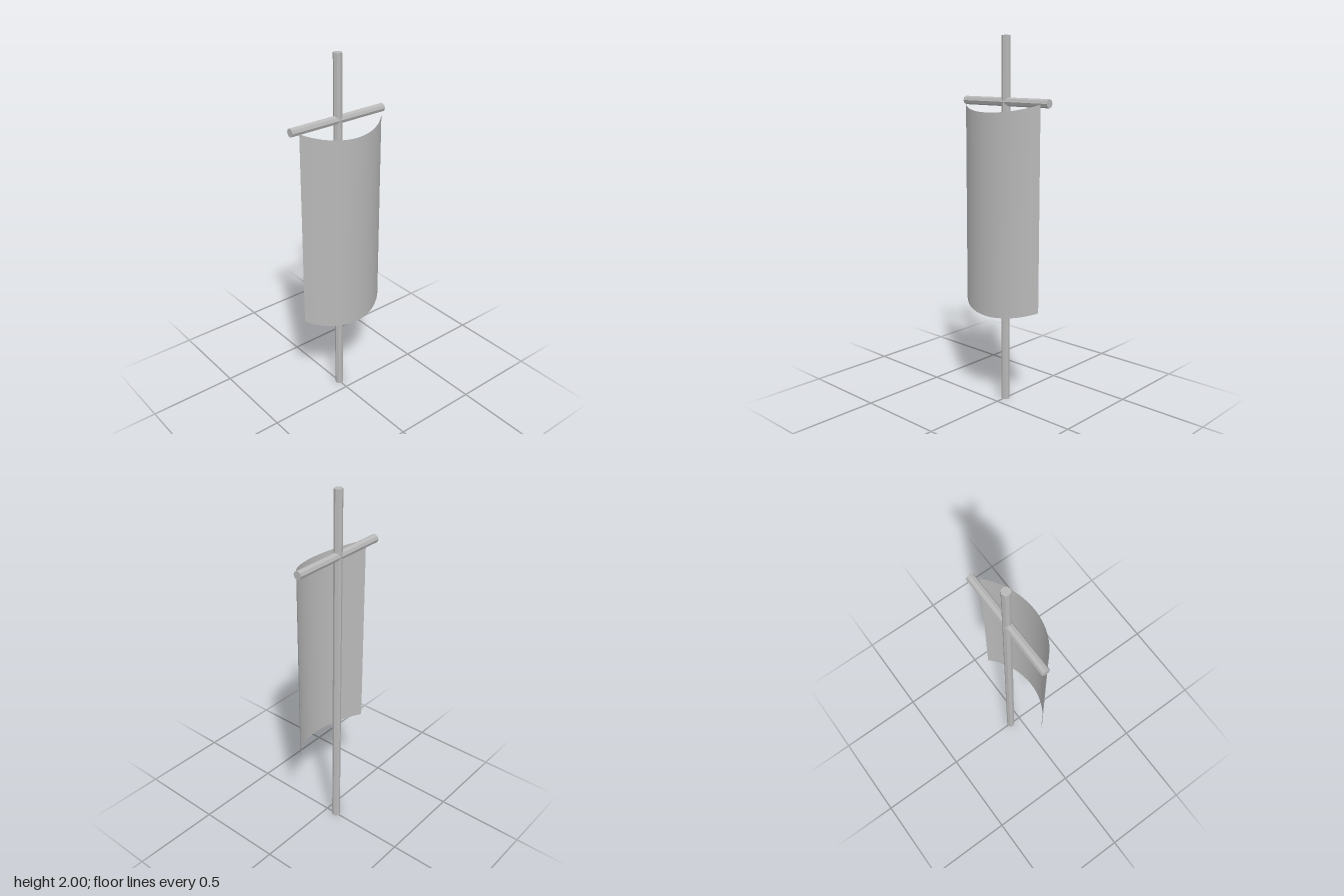
import * as THREE from 'three';

export function createModel() {
  const model = new THREE.Group();
  const grey = new THREE.MeshStandardMaterial({ color: 0xb8b8b8, flatShading: true });
  grey.name = 'grey metal';
  const cloth = new THREE.MeshStandardMaterial({ color: 0xb8b8b8, side: THREE.DoubleSide });
  cloth.name = 'grey cloth';
  const poleZ = -0.067, radius = 0.023;

  function addRod(name, length, y) {
    const rod = new THREE.Mesh(new THREE.CylinderGeometry(radius, radius, length, 8), grey);
    rod.name = name;
    rod.position.set(0, y, poleZ);
    model.add(rod);
    return rod;
  }

  // Upright pole and the crossbar the banner hangs from
  addRod('pole', 2, 1);
  addRod('crossbar', 0.588, 1.66).rotation.z = Math.PI / 2;

  // Billowing banner: a vertical sheet bent to an arc, sagging where it bulges forward
  const halfWidth = 0.262, bulge = 0.125, height = 1.088;
  const arcRadius = (halfWidth ** 2 + bulge ** 2) / (2 * bulge);
  const halfAngle = Math.asin(halfWidth / arcRadius);
  const geometry = new THREE.PlaneGeometry(2, height, 16, 1);
  const pos = geometry.attributes.position;
  for (let i = 0; i < pos.count; i++) {
    const angle = pos.getX(i) * halfAngle;
    const back = arcRadius * (1 - Math.cos(angle));
    const lift = 0.043 * back / bulge;
    pos.setXYZ(i, arcRadius * Math.sin(angle), pos.getY(i) + height / 2 + 0.524 + lift, 0.09 - back);
  }
  geometry.computeVertexNormals();
  const banner = new THREE.Mesh(geometry, cloth);
  banner.name = 'banner';
  model.add(banner);

  return model;
}
